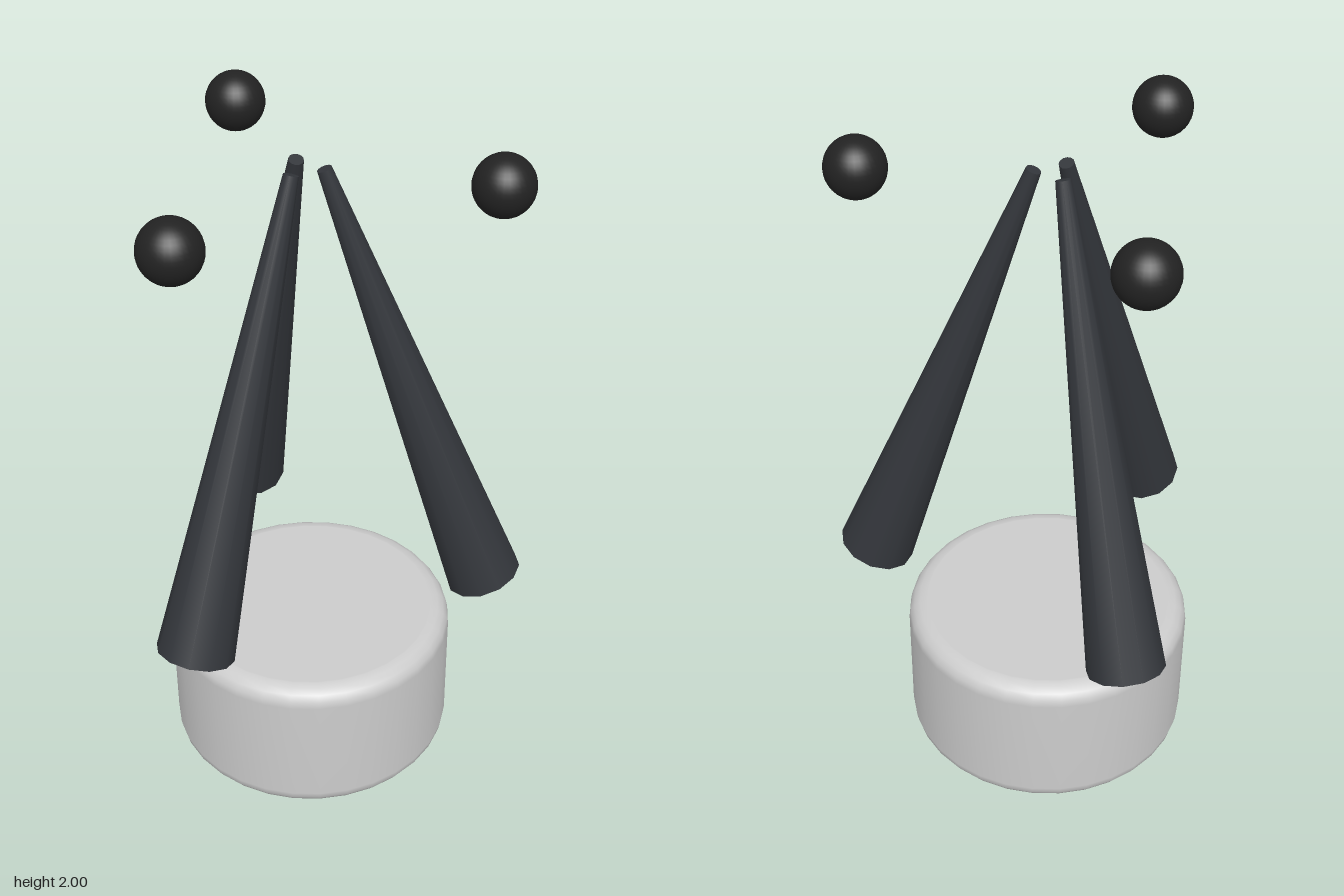
import * as THREE from 'three';

const AXIS_X = -0.105; // the three legs and balls are spaced around this vertical axis

export function createModel() {
  const model = new THREE.Group();
  const baseMat = new THREE.MeshStandardMaterial({ color: 0xcccccc });
  const legMat = new THREE.MeshStandardMaterial({ color: 0x33363b });
  const ballMat = new THREE.MeshStandardMaterial({ color: 0x222222 });

  // Round base with softened rims
  const R = 0.432, H = 0.465, B = 0.055, STEPS = 4;
  const profile = [new THREE.Vector2(0, 0), new THREE.Vector2(R - B - 0.004, 0)];
  for (const [cy, start] of [[B, -Math.PI / 2], [H - B, 0]]) {
    for (let i = 0; i <= STEPS; i++) {
      const a = start + (i / STEPS) * Math.PI / 2;
      profile.push(new THREE.Vector2(R - B + B * Math.cos(a), cy + B * Math.sin(a)));
    }
  }
  profile.push(new THREE.Vector2(R - B - 0.004, H), new THREE.Vector2(0, H));
  const base = new THREE.Mesh(new THREE.LatheGeometry(profile, 32), baseMat);
  base.name = 'base';
  base.position.x = AXIS_X;
  model.add(base);

  // Tapered leg leaning inward, running from foot to tip
  const foot = new THREE.Vector3(0.53, 0.628, 0);
  const tip = new THREE.Vector3(0.054, 1.934, 0);
  const lean = tip.clone().sub(foot);
  const legGeo = new THREE.CylinderGeometry(0.021, 0.114, lean.length(), 12);
  const ballGeo = new THREE.SphereGeometry(0.086, 32, 20);

  // Three legs, each with a ball floating above its foot
  for (let i = 0; i < 3; i++) {
    const arm = new THREE.Group();
    arm.name = 'arm' + (i + 1);
    arm.position.x = AXIS_X;
    arm.rotation.y = i * Math.PI * 2 / 3;

    const leg = new THREE.Mesh(legGeo, legMat);
    leg.name = 'leg';
    leg.position.copy(foot).add(tip).multiplyScalar(0.5);
    leg.rotation.z = Math.atan2(-lean.x, lean.y);
    arm.add(leg);

    const ball = new THREE.Mesh(ballGeo, ballMat);
    ball.name = 'ball';
    ball.position.set(0.522, 1.914, 0);
    arm.add(ball);

    model.add(arm);
  }
  return model;
}
